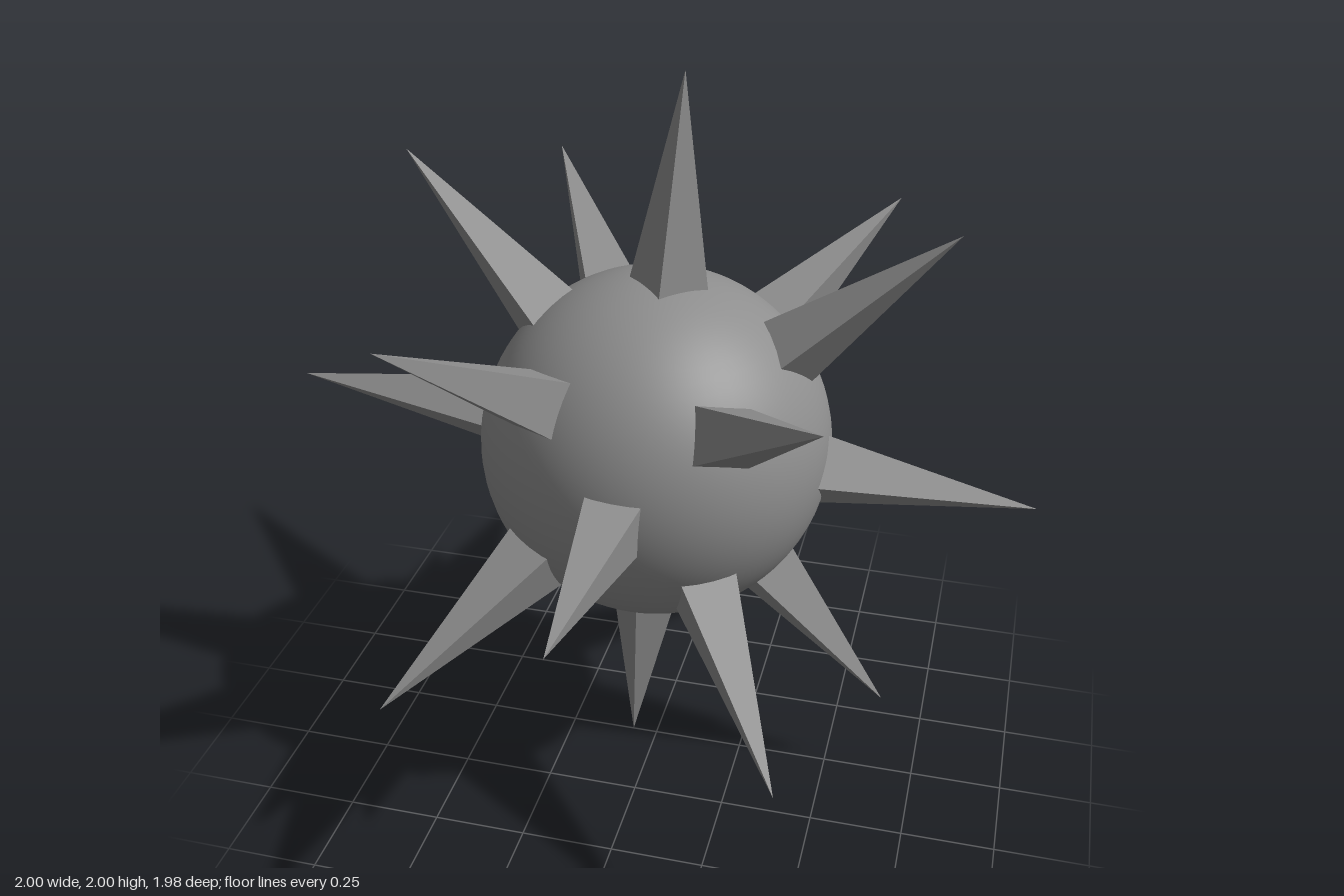
import * as THREE from 'three';

const TILT = THREE.MathUtils.degToRad(-4);
const ROOT = 0.4; // distance from the ball's centre at which spikes start, inside the core

// Four-cornered spike along +y, its tip at the given distance from the ball's centre
function spikeGeometry(reach) {
  const height = reach - ROOT;
  return new THREE.ConeGeometry(0.185 * height, height, 4, 1, true).translate(0, ROOT + height / 2, 0);
}

export function createModel() {
  const model = new THREE.Group();
  model.name = 'spikedBall';
  const smooth = new THREE.MeshStandardMaterial({ color: 0x8e8e8e });
  const faceted = new THREE.MeshStandardMaterial({ color: 0x8e8e8e, flatShading: true });

  // Round core
  const core = new THREE.Mesh(new THREE.SphereGeometry(0.463, 64, 40), smooth);
  core.name = 'core';
  core.position.y = 1;
  model.add(core);

  // Spikes: turn around z, then lean towards +z or -z
  const longSpike = spikeGeometry(1.0), shortSpike = spikeGeometry(0.988);
  function addSpike(name, geometry, turn, lean, twist = 0) {
    const spike = new THREE.Mesh(geometry, faceted);
    spike.name = name;
    spike.position.y = 1;
    spike.rotation.set(lean, twist, turn + TILT, 'ZXY');
    model.add(spike);
  }

  // Ring of spikes in the upright plane, with one lower diagonal left out
  for (let i = 0; i < 8; i++) {
    if (i === 3) continue;
    addSpike('ringSpike', i % 2 ? shortSpike : longSpike, i * Math.PI / 4, 0);
  }

  // Front and back: one straight spike and four leaning ones each
  for (const s of [1, -1]) {
    const side = s > 0 ? 'front' : 'back';
    addSpike(side + 'Spike', shortSpike, 0, s * Math.PI / 2, Math.PI / 4);
    for (let i = 0; i < 4; i++) {
      addSpike(side + 'DiagonalSpike', longSpike, Math.PI / 4 + i * Math.PI / 2, s * Math.PI / 4);
    }
  }
  return model;
}
